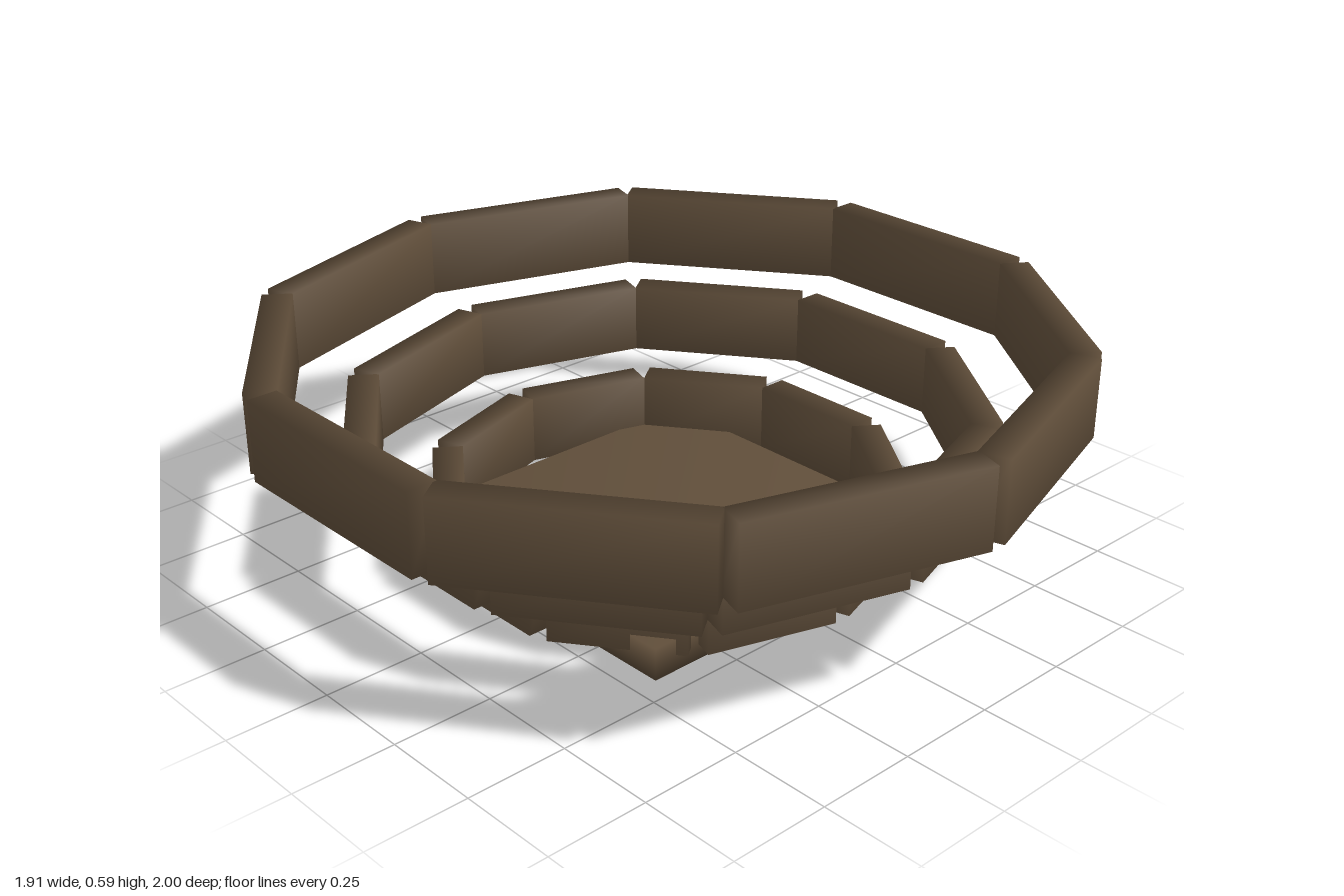
import * as THREE from 'three';
import { mergeVertices } from 'three/addons/utils/BufferGeometryUtils.js';

// Box with shared corners, so its shading is smooth across the edges
function softBox(w, h, d) {
  const box = new THREE.BoxGeometry(w, h, d);
  box.deleteAttribute('normal');
  box.deleteAttribute('uv');
  const geometry = mergeVertices(box);
  geometry.computeVertexNormals();
  return geometry;
}

export function createModel() {
  const model = new THREE.Group();
  model.name = 'tieredPlankBowl';
  const wood = new THREE.MeshStandardMaterial({ color: 0x604e3a });
  wood.name = 'darkWood';

  // Square base, with the lowest ring sunk halfway into it
  const base = new THREE.Mesh(softBox(0.88, 0.08, 0.88), wood);
  base.name = 'base';
  base.position.y = 0.04;
  model.add(base);

  // Three rings of ten planks, each wider than the one below
  const sides = 10;
  const thickness = 0.075;
  const tiers = [
    { name: 'lowerRing', radius: 0.528, length: 0.32, bottom: 0.04, top: 0.217 },
    { name: 'middleRing', radius: 0.724, length: 0.45, bottom: 0.217, top: 0.394 },
    { name: 'upperRing', radius: 0.92, length: 0.58, bottom: 0.394, top: 0.59 },
  ];
  for (const { name, radius, length, bottom, top } of tiers) {
    const ring = new THREE.Group();
    ring.name = name;
    const geometry = softBox(thickness, top - bottom, length);
    for (let i = 0; i < sides; i++) {
      const angle = (i / sides) * Math.PI * 2;
      const plank = new THREE.Mesh(geometry, wood);
      plank.name = 'plank';
      plank.position.set(Math.cos(angle) * radius, (bottom + top) / 2, Math.sin(angle) * radius);
      plank.rotation.y = -angle;
      ring.add(plank);
    }
    model.add(ring);
  }
  return model;
}
